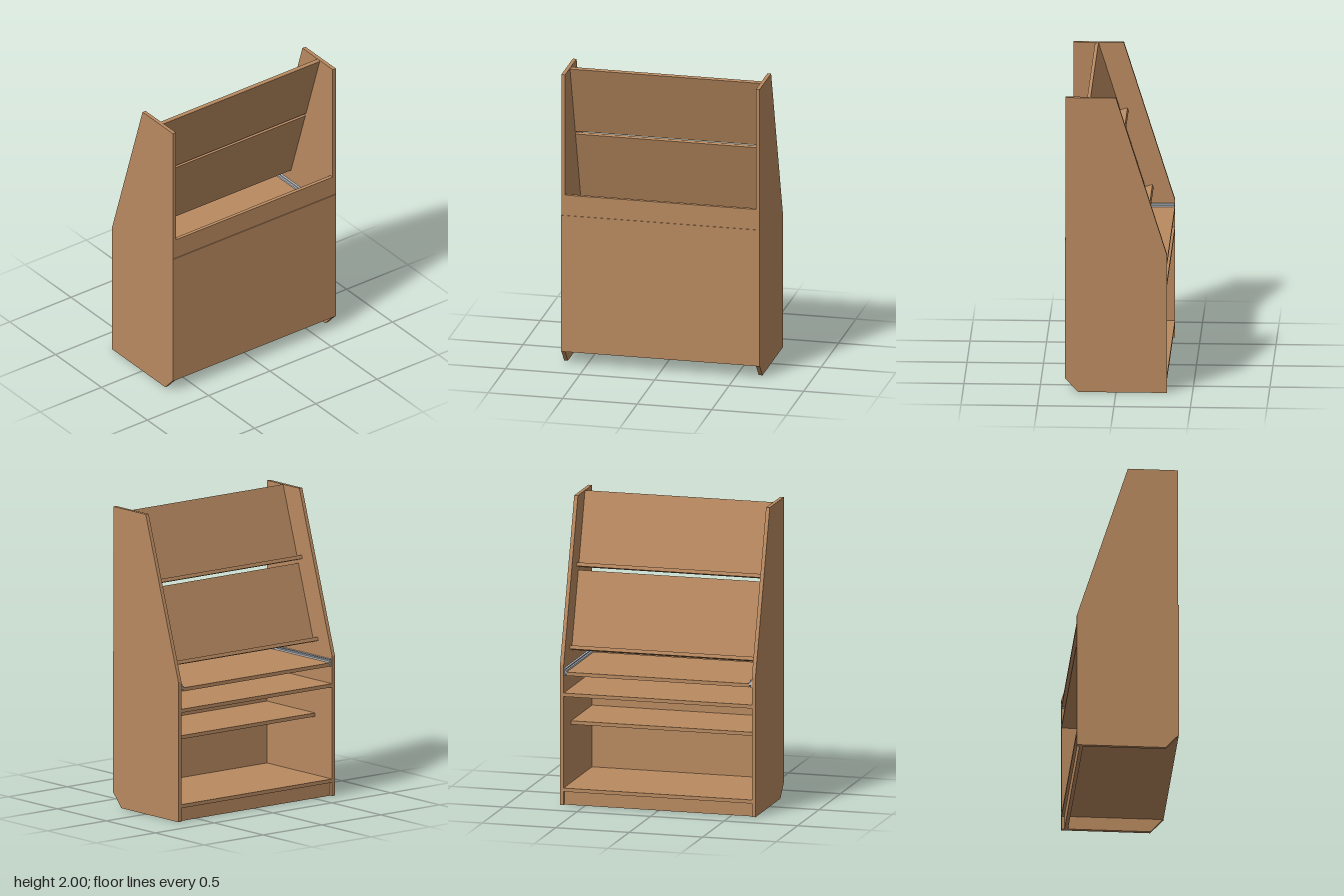
import * as THREE from 'three';

const wood = new THREE.MeshStandardMaterial({ color: 0xb98a60 });
wood.name = 'wood';
const metal = new THREE.MeshStandardMaterial({ color: 0xbcc2c8 });
metal.name = 'rail metal';

const T = 0.024; // board thickness
const IN = 0.64; // inner face of the side panels
const OUT = 0.665; // outer face of the side panels
const D = 0.334; // half depth

// Box given by its extents on each axis
function board(parent, name, [x0, x1], [y0, y1], [z0, z1], material = wood) {
  const mesh = new THREE.Mesh(new THREE.BoxGeometry(x1 - x0, y1 - y0, z1 - z0), material);
  mesh.position.set((x0 + x1) / 2, (y0 + y1) / 2, (z0 + z1) / 2);
  mesh.name = name;
  parent.add(mesh);
  return mesh;
}

export function createModel() {
  const model = new THREE.Group();
  model.name = 'displayStand';

  // Side panels: sloped at the back, chamfered at the front foot
  const profile = [[-D, 0], [0.248, 0], [D - 0.004, 0.09], [D - 0.004, 2], [0, 2], [-D, 0.934]];
  const shape = new THREE.Shape(profile.map(([z, y]) => new THREE.Vector2(-z, y)));
  const sideGeometry = new THREE.ExtrudeGeometry(shape, { depth: OUT - IN, bevelEnabled: false });
  sideGeometry.rotateY(Math.PI / 2);
  for (const [name, x] of [['leftSide', IN], ['rightSide', -OUT]]) {
    const side = new THREE.Mesh(sideGeometry, wood);
    side.position.x = x;
    side.name = name;
    model.add(side);
  }

  // Front boards: thin full-width sheet and a thicker rail above it
  board(model, 'frontSheet', [-OUT, OUT], [0.09, 1.03], [D - 0.004, D]);
  board(model, 'frontRail', [-IN, IN], [1.03, 1.17], [0.305, D - 0.004]);

  // Shelves and plinth
  const front = D - 0.004;
  board(model, 'bottomShelf', [-IN, IN], [0.09, 0.114], [-D, front]);
  board(model, 'plinth', [-IN, IN], [0, 0.09], [-0.315, -0.291]);
  board(model, 'middleShelf', [-IN, IN], [0.503, 0.527], [-0.16, front]);
  board(model, 'upperShelf', [-IN, IN], [0.726, 0.75], [-D, front]);
  board(model, 'slidingShelf', [-0.62, 0.62], [0.867, 0.891], [-D, 0.3]);

  // Slide rails on both sides of the sliding shelf
  for (const s of [-1, 1]) {
    const span = (a, b) => [Math.min(s * a, s * b), Math.max(s * a, s * b)];
    const rail = new THREE.Group();
    rail.name = s > 0 ? 'leftRail' : 'rightRail';
    board(rail, 'railBack', span(0.634, IN), [0.866, 0.914], [-0.33, 0.3], metal);
    for (const y of [0.866, 0.908])
      board(rail, 'railLip', span(0.626, 0.634), [y, y + 0.006], [-0.33, 0.3], metal);
    board(rail, 'railSlide', span(0.62, 0.632), [0.878, 0.902], [-0.33, 0.29], metal);
    model.add(rail);
  }

  // Sloping display panels, each with a ledge along its lower edge
  const display = new THREE.Group();
  display.name = 'slopingDisplay';
  display.position.set(0, 2, 0.166);
  display.rotation.x = Math.atan(D / 1.066);
  for (const [name, top, bottom] of [['upper', 0, -0.502], ['lower', -0.524, -1.047]]) {
    board(display, name + 'Panel', [-IN, IN], [bottom, top], [0, T]);
    board(display, name + 'Ledge', [-IN, IN], [bottom, bottom + T], [-0.049, 0]);
  }
  model.add(display);

  return model;
}
